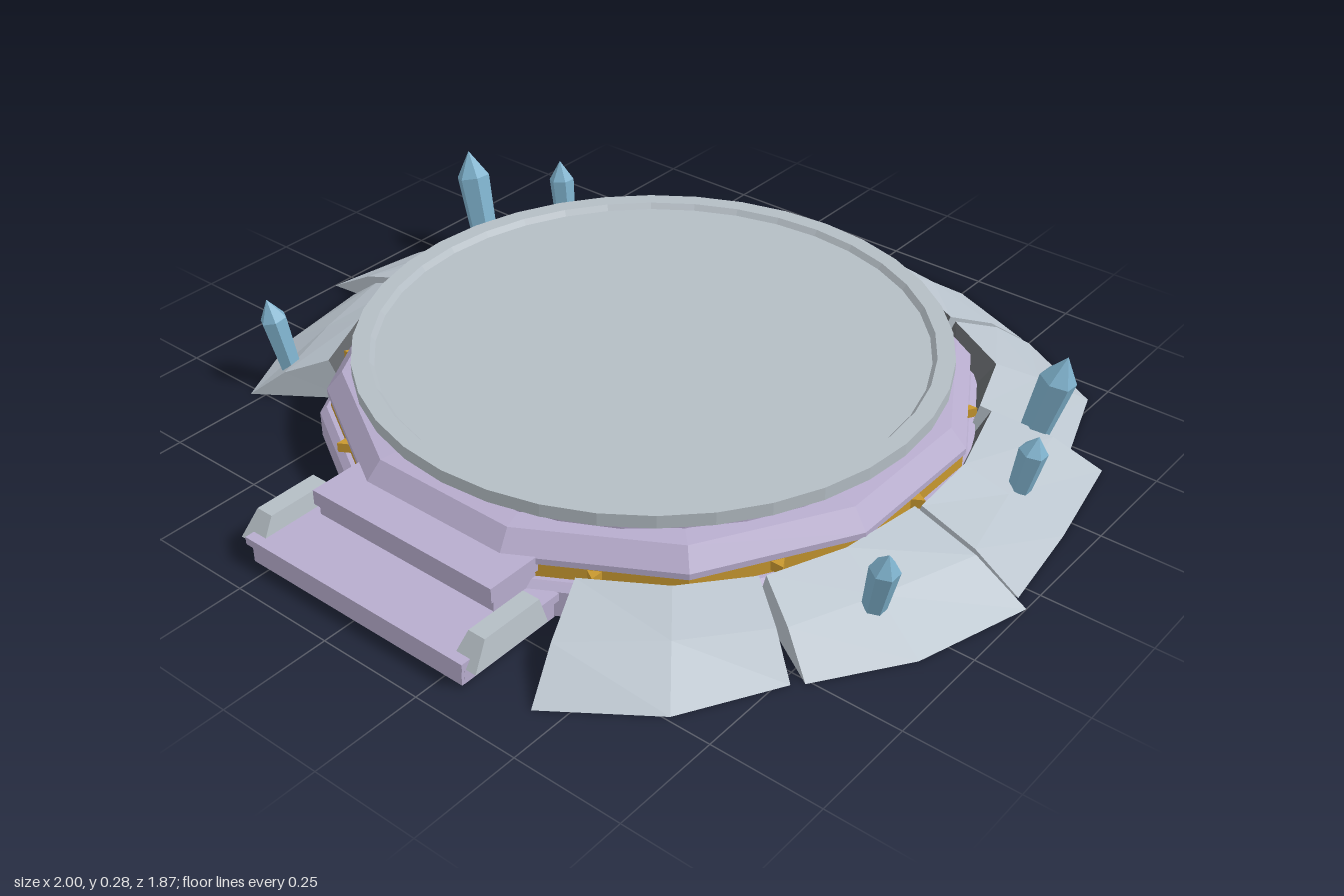
import * as THREE from 'three';

const mat = (name, color, side = THREE.FrontSide) => {
  const m = new THREE.MeshStandardMaterial({ color, flatShading: true, side });
  m.name = name;
  return m;
};

export function createModel() {
  const group = new THREE.Group();
  const stone = mat('paleStone', 0xb4bdc4);
  const rock = mat('rock', 0xb9c3cc, THREE.DoubleSide);
  const rockShade = mat('darkRock', 0x626569, THREE.DoubleSide);
  const lilac = mat('lilacStone', 0xb7accd);
  const gold = mat('gold', 0xc8982f);
  const crystal = mat('crystal', 0x7fb2cd);

  const add = (name, geo, material, x = 0, y = 0, z = 0, parent = group) => {
    const m = new THREE.Mesh(geo, material);
    m.name = name;
    m.position.set(x, y, z);
    parent.add(m);
    return m;
  };
  const lathe = (pts, n, start = 0, k = 1) =>
    new THREE.LatheGeometry(pts.map(([r, y]) => new THREE.Vector2(r * k, y)), n, start);

  // Twelve-sided hollow base, profiles given by distance to the flats
  const flat = 1 / Math.cos(Math.PI / 12);
  const ring = (name, pts, m) => add(name, lathe(pts, 12, Math.PI / 12, flat), m);
  ring('lowerRing', [[0.67, 0], [0.72, 0], [0.72, 0.06], [0.705, 0.075], [0.67, 0.075], [0.67, 0]], lilac);
  ring('goldBand', [[0.675, 0.07], [0.695, 0.07], [0.695, 0.112], [0.675, 0.112], [0.675, 0.07]], gold);
  ring('upperRing', [[0.65, 0.108], [0.7, 0.108], [0.7, 0.122], [0.665, 0.165], [0.62, 0.17], [0.65, 0.108]], lilac);

  // Round platform with a raised rim
  add('platformNeck', lathe([[0.6, 0.16], [0.64, 0.16], [0.64, 0.195], [0.6, 0.195]], 32), lilac);
  add('platform', lathe([[0, 0.19], [0.665, 0.19], [0.665, 0.22], [0.625, 0.22], [0.615, 0.207], [0, 0.207]], 36), stone);

  // Gold studs at the middle of each flat
  for (let i = 0; i < 12; i++) {
    const a = (i * Math.PI) / 6;
    if (i === 0) continue; // steps stand here
    const s = add('stud', new THREE.CylinderGeometry(0.018, 0.018, 0.022, 3),
      gold, Math.sin(a) * 0.703, 0.092, Math.cos(a) * 0.703);
    s.rotation.y = a;
  }

  // Front steps, hollow underneath, with bevelled cheeks
  const steps = new THREE.Group();
  steps.name = 'steps';
  group.add(steps);
  const box = (name, w, h, d, x, y, z, m = lilac) =>
    add(name, new THREE.BoxGeometry(w, h, d), m, x, y, z, steps);
  box('upperStep', 0.5, 0.035, 0.2, 0, 0.107, 0.69);
  box('upperRiser', 0.49, 0.05, 0.18, 0, 0.07, 0.69);
  box('lowerTread', 0.61, 0.018, 0.27, 0, 0.052, 0.795);
  box('lowerRiser', 0.59, 0.045, 0.025, 0, 0.0225, 0.91);
  for (const s of [-1, 1]) {
    box('lowerSide', 0.025, 0.045, 0.25, s * 0.283, 0.0225, 0.79);
    const g = new THREE.BoxGeometry(0.065, 0.055, 0.2);
    const p = g.attributes.position;
    for (let i = 0; i < p.count; i++) {
      if (p.getY(i) > 0) p.setXYZ(i, p.getX(i) * 0.65, p.getY(i), p.getZ(i) > 0 ? 0.06 : -0.09);
    }
    add('stepCheek', g, stone, s * 0.298, 0.071, 0.82, steps);
  }

  // Rock slabs: outer foot points, then ridge points, as [x, z]
  const slabs = [
    [[[-0.49, -0.82], [-0.22, -0.925], [-0.01, -0.94]], [[-0.38, -0.64], [-0.2, -0.74], [-0.01, -0.78]]],
    [[[0, -0.93], [0.25, -0.92], [0.48, -0.825]], [[0, -0.78], [0.2, -0.74], [0.38, -0.64]]],
    [[[0.5, -0.82], [0.73, -0.69], [0.81, -0.45]], [[0.4, -0.63], [0.57, -0.53], [0.63, -0.36]]],
    [[[0.89, -0.46], [0.94, -0.2], [0.97, 0.035]], [[0.66, -0.36], [0.72, -0.15], [0.73, 0.03]]],
    [[[1, 0.055], [0.92, 0.32], [0.79, 0.51]], [[0.72, 0.04], [0.69, 0.24], [0.62, 0.41]]],
    [[[0.77, 0.53], [0.65, 0.74], [0.44, 0.89]], [[0.61, 0.42], [0.5, 0.55], [0.34, 0.65]]],
    [[[-0.78, 0.52], [-0.89, 0.3], [-0.93, 0.06]], [[-0.61, 0.42], [-0.69, 0.25], [-0.73, 0.06]]],
    [[[-1, 0.055], [-0.96, -0.2], [-0.86, -0.43]], [[-0.73, 0.04], [-0.72, -0.15], [-0.64, -0.33]]],
    [[[-0.81, -0.42], [-0.68, -0.62], [-0.49, -0.78]], [[-0.62, -0.33], [-0.56, -0.5], [-0.39, -0.62]]],
  ];
  for (const [outer, ridge] of slabs) {
    // Cross-section at each station: outer foot, bulge, ridge, inner foot
    const sec = outer.map(([x, z], i) => {
      const [rx, rz] = ridge[i];
      const k = 0.7 / Math.hypot(rx, rz);
      const t = i === 1 ? 0.55 : 0.45;
      return [[x, 0, z], [x + (rx - x) * t, 0.068, z + (rz - z) * t],
        [rx, 0.112, rz], [rx * k, 0.01, rz * k]];
    });
    const pos = [];
    const quad = (a, b, c, d) => pos.push(...a, ...b, ...c, ...a, ...c, ...d);
    const strip = (k) => {
      for (let i = 0; i < 2; i++) {
        quad(sec[i][k], sec[i][(k + 1) % 4], sec[i + 1][(k + 1) % 4], sec[i + 1][k]);
      }
    };
    [0, 1, 3].forEach(strip);
    quad(...sec[2]);
    quad(...[...sec[0]].reverse());
    const split = pos.length / 3;
    strip(2);
    const g = new THREE.BufferGeometry();
    g.setAttribute('position', new THREE.Float32BufferAttribute(pos, 3));
    g.addGroup(0, split, 0);
    g.addGroup(split, pos.length / 3 - split, 1);
    g.computeVertexNormals();
    add('rockSlab', g, [rock, rockShade]);
  }

  // Leaning crystals: base x, y, z, tip x, y, z, radius
  const crystals = [
    [-0.8, 0.06, -0.29, -0.86, 0.285, -0.305, 0.042],
    [-0.7, 0.05, -0.49, -0.725, 0.225, -0.5, 0.032],
    [-0.735, 0.05, 0.43, -0.77, 0.225, 0.45, 0.032],
    [0.735, 0.05, -0.42, 0.785, 0.26, -0.44, 0.042],
    [0.82, 0.06, -0.215, 0.845, 0.195, -0.225, 0.032],
    [0.8, 0.06, 0.3, 0.83, 0.205, 0.31, 0.032],
  ];
  const up = new THREE.Vector3(0, 1, 0);
  for (const [x, y, z, tx, ty, tz, r] of crystals) {
    const dir = new THREE.Vector3(tx - x, ty - y, tz - z);
    const h = dir.length();
    const c = add('crystal', lathe([[0, 0], [r * 0.8, 0], [r, h * 0.72], [0, h]], 6), crystal, x, y, z);
    c.quaternion.setFromUnitVectors(up, dir.normalize());
  }
  return group;
}
